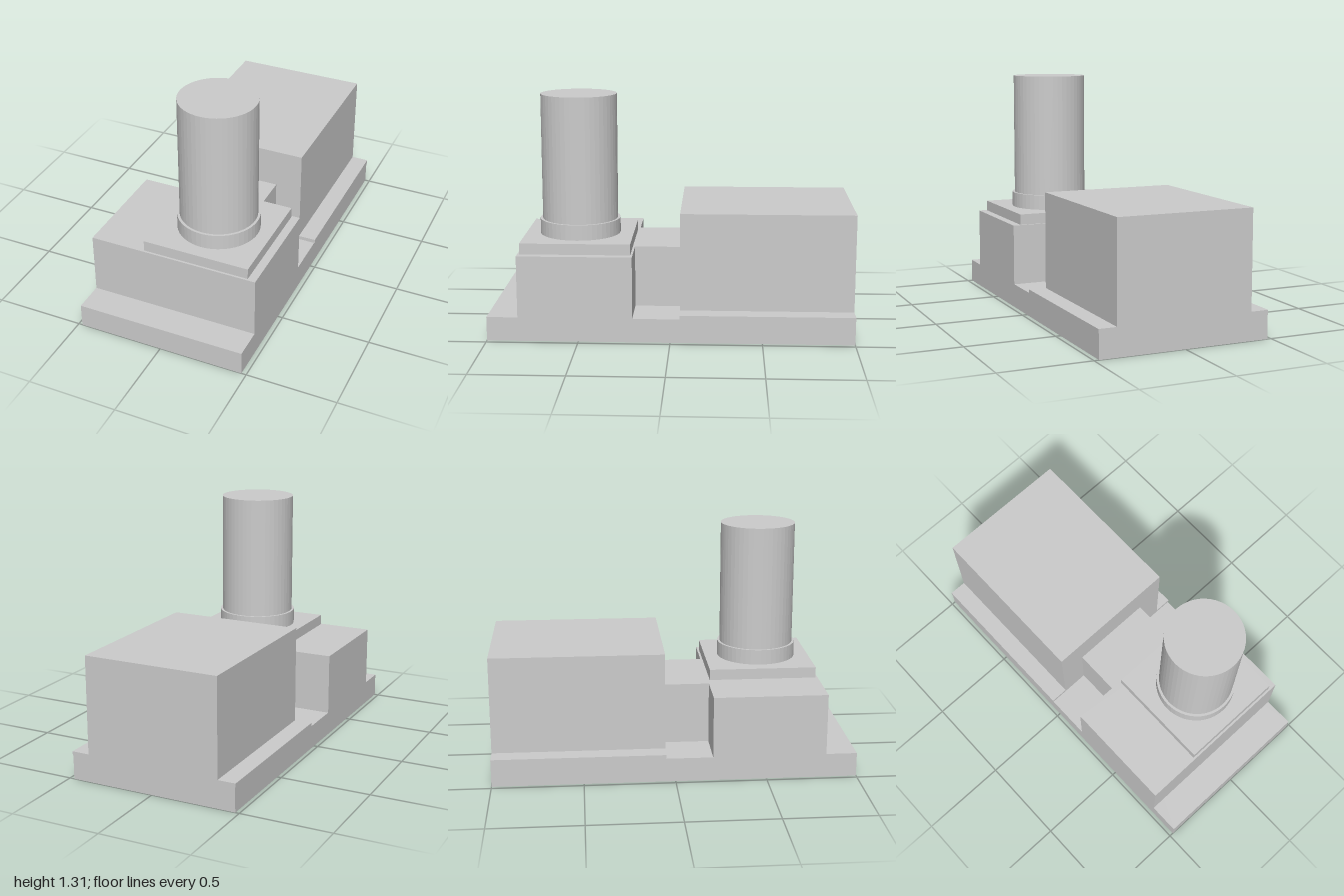
import * as THREE from 'three';

export function createModel() {
  const model = new THREE.Group();
  const material = new THREE.MeshStandardMaterial({ color: 0xcccccc, flatShading: true });
  const stackX = 0.128, stackZ = 0.517, sides = 48;

  const add = (name, geometry) => {
    const mesh = new THREE.Mesh(geometry, material);
    mesh.name = name;
    model.add(mesh);
    return mesh;
  };

  // Box given by its limits on each axis
  const box = (name, x0, x1, y0, y1, z0, z1) =>
    add(name, new THREE.BoxGeometry(x1 - x0, y1 - y0, z1 - z0))
      .position.set((x0 + x1) / 2, (y0 + y1) / 2, (z0 + z1) / 2);

  // Slab with the round shaft under the stack cut through it
  const boredSlab = (name, x0, x1, y0, y1, z0, z1) => {
    const shape = new THREE.Shape([
      new THREE.Vector2(x0, -z1), new THREE.Vector2(x1, -z1),
      new THREE.Vector2(x1, -z0), new THREE.Vector2(x0, -z0),
    ]);
    shape.holes.push(new THREE.Path().absarc(stackX, -stackZ, 0.25, 0, Math.PI * 2, true));
    const geometry = new THREE.ExtrudeGeometry(shape, {
      depth: y1 - y0, bevelEnabled: false, curveSegments: sides / 2,
    });
    geometry.rotateX(-Math.PI / 2);
    add(name, geometry).position.y = y0;
  };

  const cylinder = (name, radius, y0, y1) =>
    add(name, new THREE.CylinderGeometry(radius, radius, y1 - y0, sides))
      .position.set(stackX, (y0 + y1) / 2, stackZ);

  // Base and the buildings on it
  boredSlab('base', -0.478, 0.473, 0, 0.133, -1, 1);
  boredSlab('frontBlock', -0.478, 0.473, 0.133, 0.475, 0.205, 0.83);
  box('connectingNeck', -0.232, 0.228, 0.133, 0.475, -0.05, 0.205);
  box('rearDeck', -0.48, 0.477, 0.133, 0.155, -1, -0.05);
  box('rearBlock', -0.38, 0.378, 0.155, 0.695, -1, -0.05);

  // Stack on its plinth; the plinth closes the shaft
  box('stackPlinth', -0.171, 0.427, 0.475, 0.535, 0.217, 0.818);
  cylinder('stackCollar', 0.224, 0.535, 0.62);
  cylinder('stack', 0.21, 0.62, 1.315);

  return model;
}
